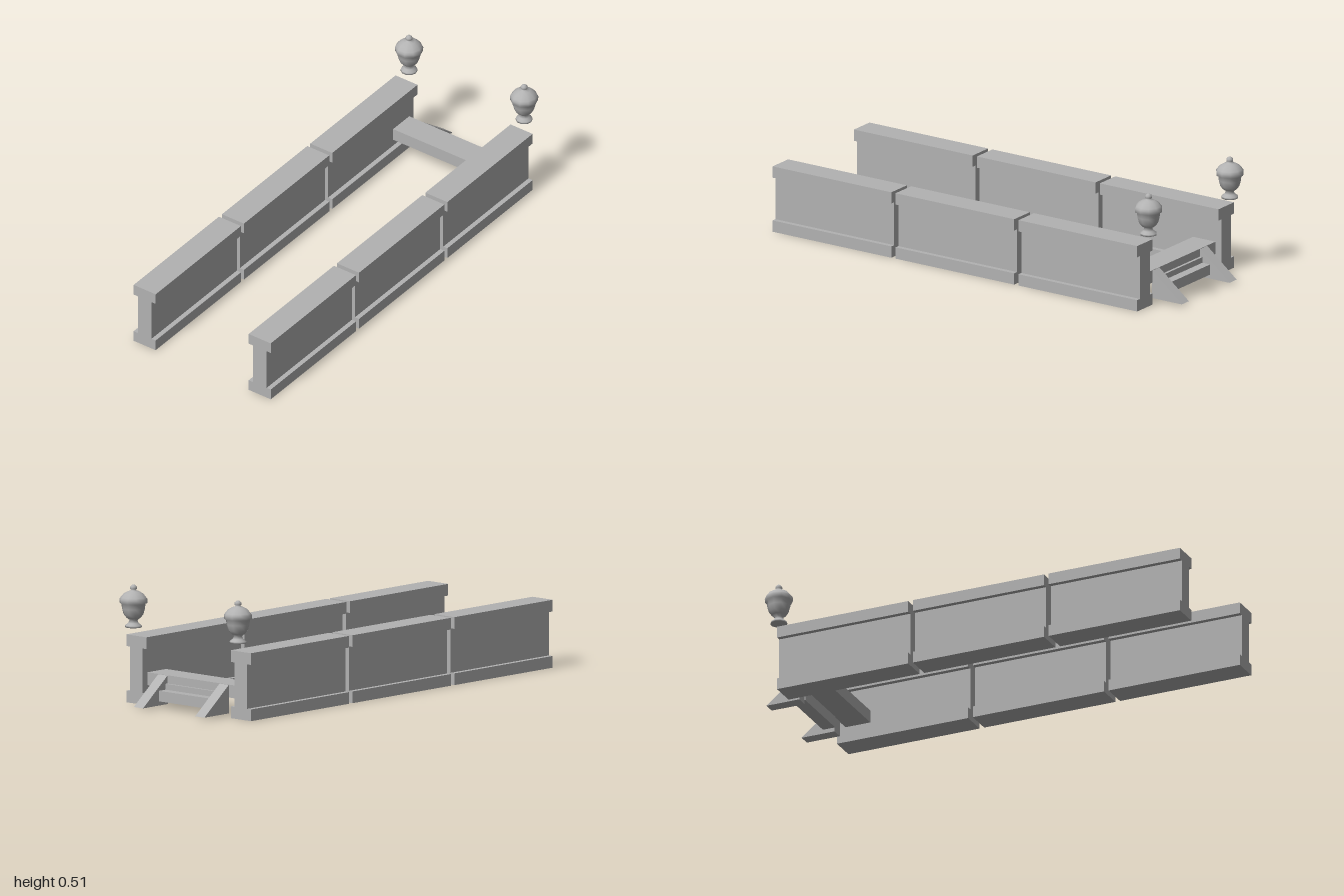
import * as THREE from 'three';

const stone = new THREE.MeshStandardMaterial({ color: 0xb2b2b2 });
stone.name = 'stone';

// Box given by its minimum and maximum along each axis
function block(name, x0, x1, y0, y1, z0, z1) {
  const mesh = new THREE.Mesh(new THREE.BoxGeometry(x1 - x0, y1 - y0, z1 - z0), stone);
  mesh.position.set((x0 + x1) / 2, (y0 + y1) / 2, (z0 + z1) / 2);
  mesh.name = name;
  return mesh;
}

// Wall section: wide base and cap with a thinner panel between
function wallSection(start, length, z) {
  const section = new THREE.Group();
  section.name = 'wallSection';
  const end = start + length;
  section.add(
    block('wallBase', start, end, 0, 0.05, z - 0.0575, z + 0.0575),
    block('wallPanel', start, end, 0.05, 0.24, z - 0.036, z + 0.036),
    block('wallCap', start, end, 0.24, 0.29, z - 0.0575, z + 0.0575)
  );
  return section;
}

// Lidded urn turned from a profile
function urn(z) {
  const profile = [
    [0, 0.33], [0.036, 0.33], [0.035, 0.338], [0.022, 0.348], [0.017, 0.36],
    [0.03, 0.37], [0.042, 0.385], [0.049, 0.41], [0.051, 0.43], [0.059, 0.433],
    [0.06, 0.45], [0.054, 0.458], [0.043, 0.472], [0.026, 0.482], [0.01, 0.487],
    [0.015, 0.494], [0.014, 0.503], [0.007, 0.51], [0, 0.511]
  ].map(([r, y]) => new THREE.Vector2(r, y));
  const mesh = new THREE.Mesh(new THREE.LatheGeometry(profile, 10), stone);
  mesh.position.set(0.953, 0, z);
  mesh.name = 'urn';
  return mesh;
}

// Sloping triangular cheek beside the step
function stepCheek(z) {
  const side = new THREE.Shape([
    new THREE.Vector2(0.903, 0.012),
    new THREE.Vector2(1.056, 0.012),
    new THREE.Vector2(0.903, 0.135)
  ]);
  const geometry = new THREE.ExtrudeGeometry(side, { depth: 0.053, bevelEnabled: false });
  const mesh = new THREE.Mesh(geometry, stone);
  mesh.position.z = z - 0.0265;
  mesh.name = 'stepCheek';
  return mesh;
}

export function createModel() {
  const model = new THREE.Group();
  model.name = 'gardenWalls';

  // Everything is laid out along x, then turned as one
  const layout = new THREE.Group();
  layout.name = 'layout';
  layout.position.set(-0.022, 0, 0.0105);
  layout.rotation.y = THREE.MathUtils.degToRad(33.6);
  model.add(layout);

  const length = 0.609;
  const gap = 0.0215;
  for (const side of [-1, 1]) {
    for (let i = 0; i < 3; i++) {
      layout.add(wallSection(-0.935 + i * (length + gap), length, side * 0.3));
    }
    layout.add(urn(side * 0.3), stepCheek(side * 0.176));
  }

  // Threshold between the walls, with a lip and a lower step
  layout.add(
    block('threshold', 0.79, 0.905, 0.08, 0.135, -0.27, 0.27),
    block('thresholdLip', 0.9, 0.917, 0.075, 0.1, -0.15, 0.15),
    block('step', 0.9, 0.957, 0.03, 0.075, -0.15, 0.15)
  );
  return model;
}
